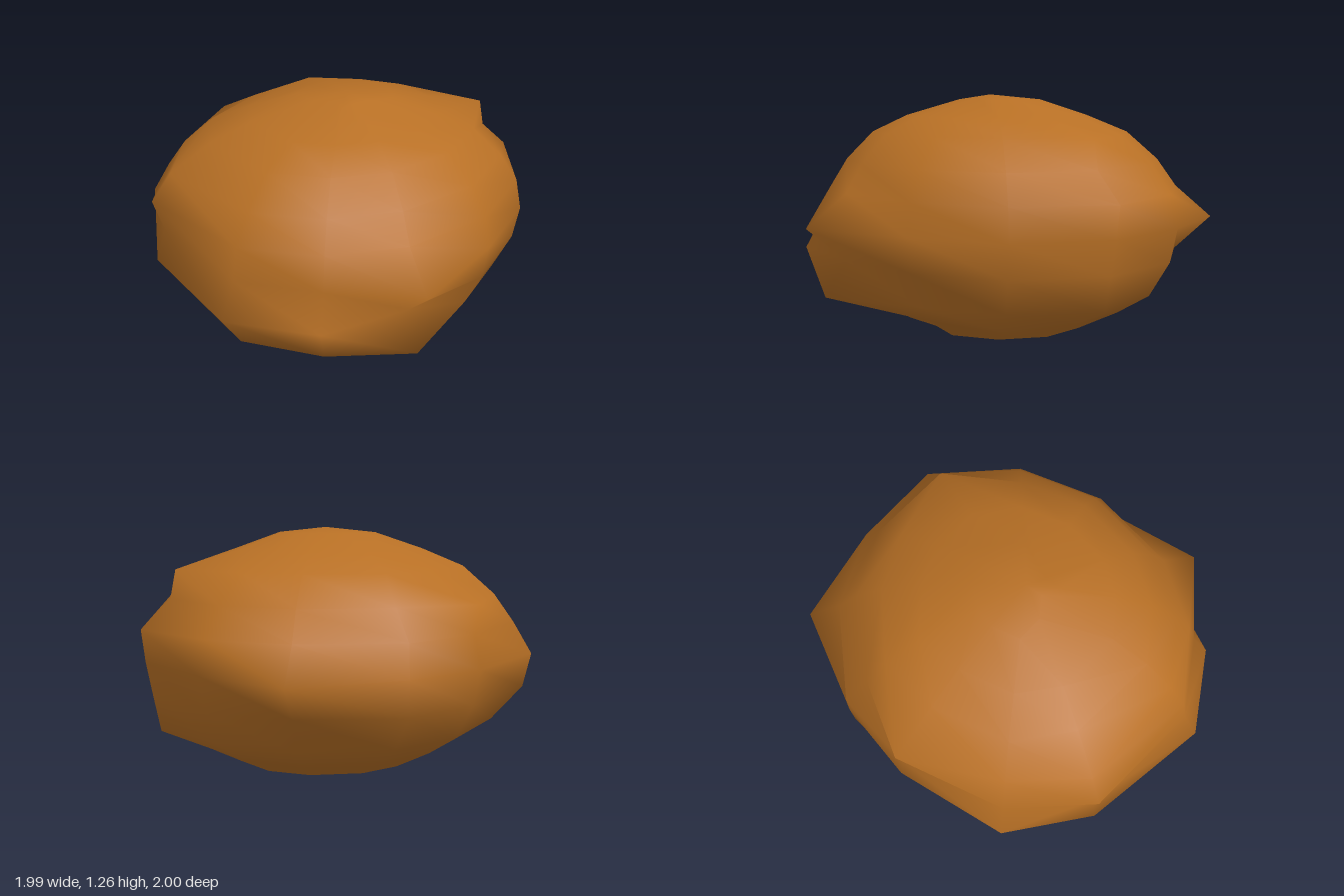
import * as THREE from 'three';

// Height of each ring below the crown
const heights = [1.235, 1.155, 1.07, 0.93, 0.79, 0.63, 0.46, 0.285, 0.185, 0.08, 0.025];
const RINGS = heights.length;

// Direction in degrees and widest reach of each side, from +x turning towards +z
const turns = [-7, 23, 55, 90, 118, 145, 185, 212, 245, 270, 300, 325];
const reach = [0.98, 0.91, 0.83, 0.82, 0.86, 0.93, 0.98, 1.0, 0.98, 0.99, 1.0, 1.01];
const SIDES = turns.length;

// Bumps and dents: [ring from the top, side, distance from the axis]
const bumps = [
  [1, 2, 0.12], [1, 3, 0.1], [1, 4, 0.16], [1, 5, 0.08], [1, 6, 0.17], // creases by the crown
  [2, 9, 0.56], [3, 0, 0.82], [3, 9, 0.74], [4, 6, 0.9], [4, 8, 0.97], // shoulders
  [5, 6, 1.0], [5, 0, 1.0], [5, 9, 0.99],
  [6, 3, 1.0], // front point
  [6, 4, 0.88], [6, 6, 0.95], [6, 7, 1.06], // right side corner
  [6, 9, 1.0], [6, 10, 1.15], [7, 9, 1.0], // rear corner
  [7, 3, 0.8], [7, 4, 0.97], [7, 5, 1.02], [7, 6, 1.0], [7, 7, 1.02], // low front ledge
  [8, 0, 0.91], [8, 3, 0.91], [8, 4, 0.88], [8, 5, 0.9], [8, 6, 0.78],
  [9, 1, 0.72], [9, 3, 0.44], [9, 4, 0.56], [9, 6, 0.74], [10, 3, 0.33], // underside
];

function createLumpGeometry() {
  const points = [0, 1.26, 0];
  const index = [];

  for (let ring = 1; ring <= RINGS; ring++) {
    const swell = Math.sin((ring / (RINGS + 1)) * Math.PI);
    for (let side = 0; side < SIDES; side++) {
      const turn = THREE.MathUtils.degToRad(turns[side]);
      const bump = bumps.find(([r, s]) => r === ring && s === side);
      const radius = bump ? bump[2] : swell * reach[side];
      points.push(Math.cos(turn) * radius, heights[ring - 1], Math.sin(turn) * radius);
    }
  }
  points.push(-0.07, 0, 0);

  const at = (ring, side) => 1 + (ring - 1) * SIDES + (side % SIDES);
  const last = points.length / 3 - 1;
  for (let side = 0; side < SIDES; side++) {
    index.push(0, at(1, side + 1), at(1, side));
    for (let ring = 1; ring < RINGS; ring++) {
      const a = at(ring, side), b = at(ring, side + 1);
      const c = at(ring + 1, side), d = at(ring + 1, side + 1);
      index.push(a, b, c, b, d, c);
    }
    index.push(last, at(RINGS, side), at(RINGS, side + 1));
  }

  const geometry = new THREE.BufferGeometry();
  geometry.setAttribute('position', new THREE.Float32BufferAttribute(points, 3));
  geometry.setIndex(index);
  geometry.computeVertexNormals();
  return geometry;
}

export function createModel() {
  const group = new THREE.Group();
  group.name = 'lump';

  const brown = new THREE.MeshStandardMaterial({ color: 0xb87025 });
  brown.name = 'warm brown';

  const body = new THREE.Mesh(createLumpGeometry(), brown);
  body.name = 'body';
  group.add(body);
  return group;
}
